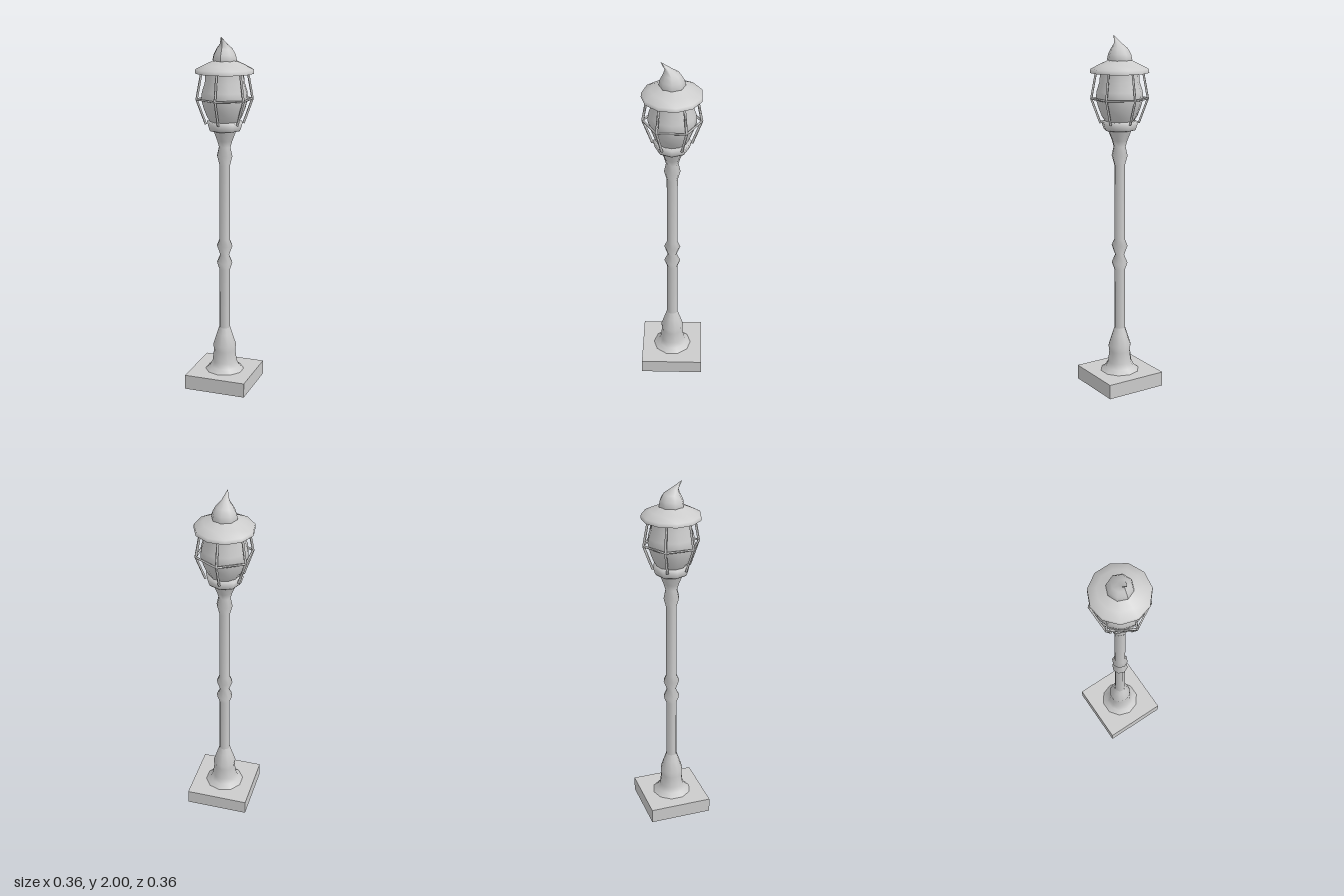
import * as THREE from 'three';

const material = new THREE.MeshStandardMaterial({ color: 0xcccccc, side: THREE.DoubleSide });

function add(parent, name, geometry) {
  const mesh = new THREE.Mesh(geometry, material);
  mesh.name = name;
  parent.add(mesh);
  return mesh;
}

// Turned part from [radius, height] pairs, listed bottom to top
function turned(points, sides) {
  return new THREE.LatheGeometry(points.map(([r, y]) => new THREE.Vector2(r, y)), sides);
}

// Thin bar between two points
function bar(parent, name, a, b, radius) {
  const mesh = add(parent, name, new THREE.CylinderGeometry(radius, radius, a.distanceTo(b), 4));
  mesh.position.copy(a).add(b).multiplyScalar(0.5);
  mesh.quaternion.setFromUnitVectors(new THREE.Vector3(0, 1, 0), b.clone().sub(a).normalize());
}

export function createModel() {
  const model = new THREE.Group();
  model.name = 'streetLamp';

  // Square plinth
  add(model, 'plinth', new THREE.BoxGeometry(0.357, 0.083, 0.357)).position.y = 0.0415;

  // Flared foot
  add(model, 'foot', turned([
    [0.115, 0.08], [0.085, 0.105], [0.07, 0.135], [0.062, 0.2],
    [0.066, 0.235], [0.045, 0.3], [0.032, 0.34],
  ], 10));

  // Pole with a double knot halfway and a flared neck
  add(model, 'pole', turned([
    [0.031, 0.33], [0.031, 0.69], [0.046, 0.73], [0.026, 0.775], [0.046, 0.83],
    [0.031, 0.865], [0.03, 1.29], [0.045, 1.345], [0.034, 1.395],
    [0.044, 1.43], [0.062, 1.475], [0.066, 1.49],
  ], 8));

  // Cup that carries the lantern
  add(model, 'cup', turned([[0, 1.482], [0.085, 1.487], [0.092, 1.495], [0.104, 1.535], [0.07, 1.54]], 8));

  // Glass globe
  add(model, 'globe', turned([
    [0.075, 1.53], [0.098, 1.565], [0.116, 1.61], [0.13, 1.66],
    [0.126, 1.7], [0.11, 1.75], [0.105, 1.81],
  ], 12));

  // Cage of bent struts joined by a ring
  const cage = new THREE.Group();
  cage.name = 'cage';
  model.add(cage);
  const strut = [[0.105, 1.525], [0.155, 1.66], [0.128, 1.805]];
  const count = 6;
  for (let i = 0; i < count; i++) {
    const at = ([r, y], k) => {
      const angle = (k / count) * Math.PI * 2;
      return new THREE.Vector3(Math.sin(angle) * r, y, Math.cos(angle) * r);
    };
    bar(cage, 'lowerStrut', at(strut[0], i), at(strut[1], i), 0.007);
    bar(cage, 'upperStrut', at(strut[1], i), at(strut[2], i), 0.007);
    bar(cage, 'ringBar', at(strut[1], i), at(strut[1], i + 1), 0.006);
  }

  // Wide roof with a thin rim
  add(model, 'roofUnderside', turned([[0, 1.805], [0.162, 1.8]], 11));
  add(model, 'roof', turned([[0.162, 1.8], [0.16, 1.822], [0.115, 1.845], [0.06, 1.87]], 11));

  // Domed finial whose tip curls forward
  const finial = turned([
    [0.066, 1.862], [0.07, 1.872], [0.064, 1.9], [0.046, 1.932], [0.022, 1.957], [0, 2],
  ], 8);
  const p = finial.attributes.position;
  for (let i = 0; i < p.count; i++) {
    const t = Math.max(0, (p.getY(i) - 1.925) / 0.075);
    p.setZ(i, p.getZ(i) + 0.06 * t ** 1.5);
  }
  finial.computeVertexNormals();
  add(model, 'finial', finial);

  return model;
}
